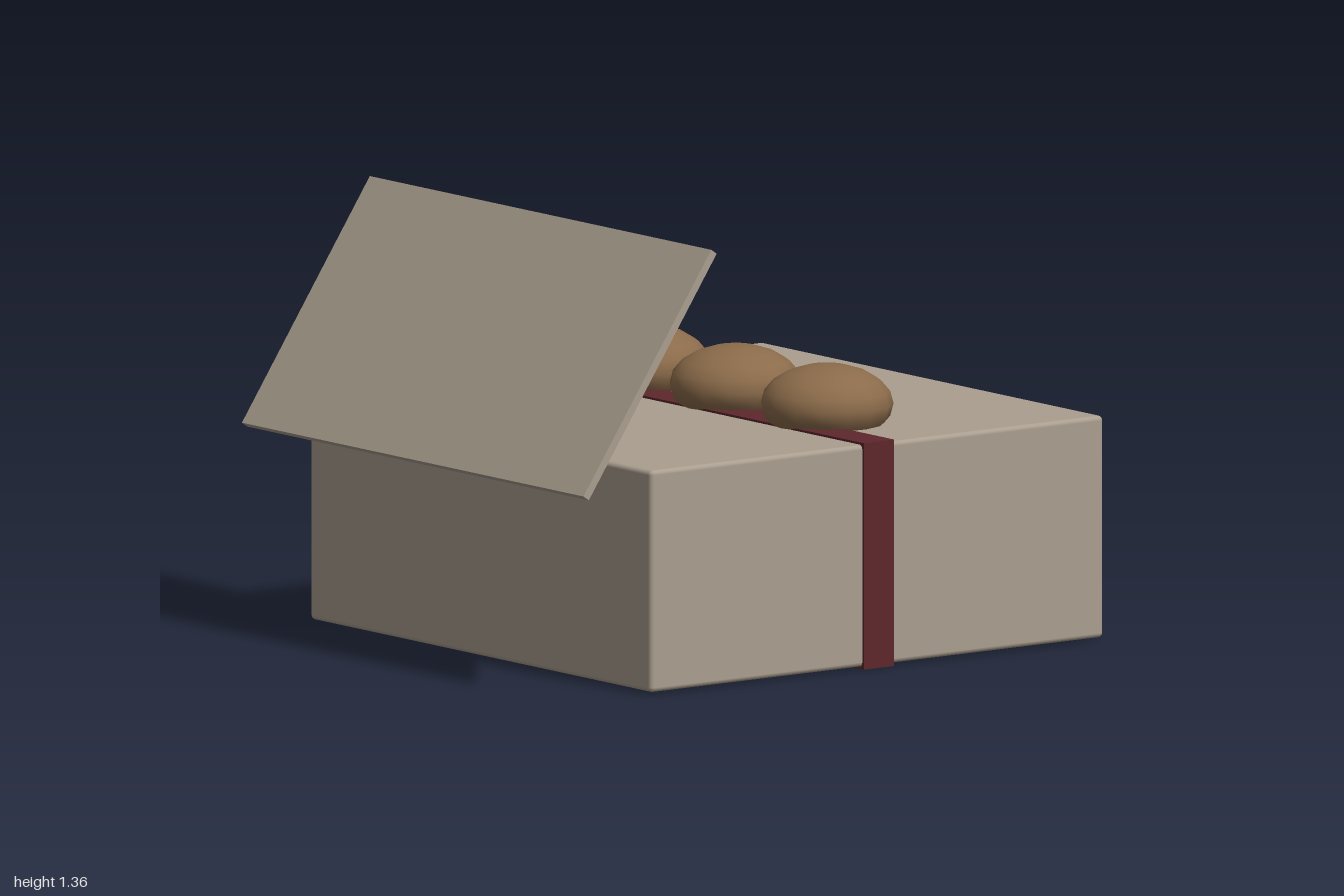
import * as THREE from 'three';
import { RoundedBoxGeometry } from 'three/addons/geometries/RoundedBoxGeometry.js';

export function createModel() {
  const model = new THREE.Group();
  model.name = 'treatBox';

  const material = (name, color) => {
    const m = new THREE.MeshStandardMaterial({ color });
    m.name = name;
    return m;
  };
  const card = material('card', 0xaa9e8f);
  const ribbonRed = material('ribbonRed', 0x5e272c);
  const crust = material('crust', 0x8b6b4a);

  const add = (name, geometry, mat, x, y, z) => {
    const mesh = new THREE.Mesh(geometry, mat);
    mesh.name = name;
    mesh.position.set(x, y, z);
    model.add(mesh);
    return mesh;
  };

  // Box with softly rounded edges
  add('box', new RoundedBoxGeometry(1.74, 0.69, 1.74, 2, 0.015), card, 0, 0.352, -0.13);

  // Ribbon wrapped around the box
  add('ribbon', new THREE.BoxGeometry(1.754, 0.704, 0.117), ribbonRed, 0, 0.352, -0.13);

  // Thin flap tilted back over the front
  const lid = add('lid', new THREE.BoxGeometry(1.74, 0.87, 0.025), card, 0, 0.996, 0.744);
  lid.rotation.x = -0.6;

  // Row of three flattened buns on top
  const bunGeometry = new THREE.SphereGeometry(0.205, 15, 10);
  bunGeometry.rotateY(Math.PI / 2);
  bunGeometry.scale(1, 0.6, 1);
  for (const i of [-1, 0, 1]) {
    add('bun', bunGeometry, crust, i * 0.465, 0.757, -0.24);
  }

  return model;
}
